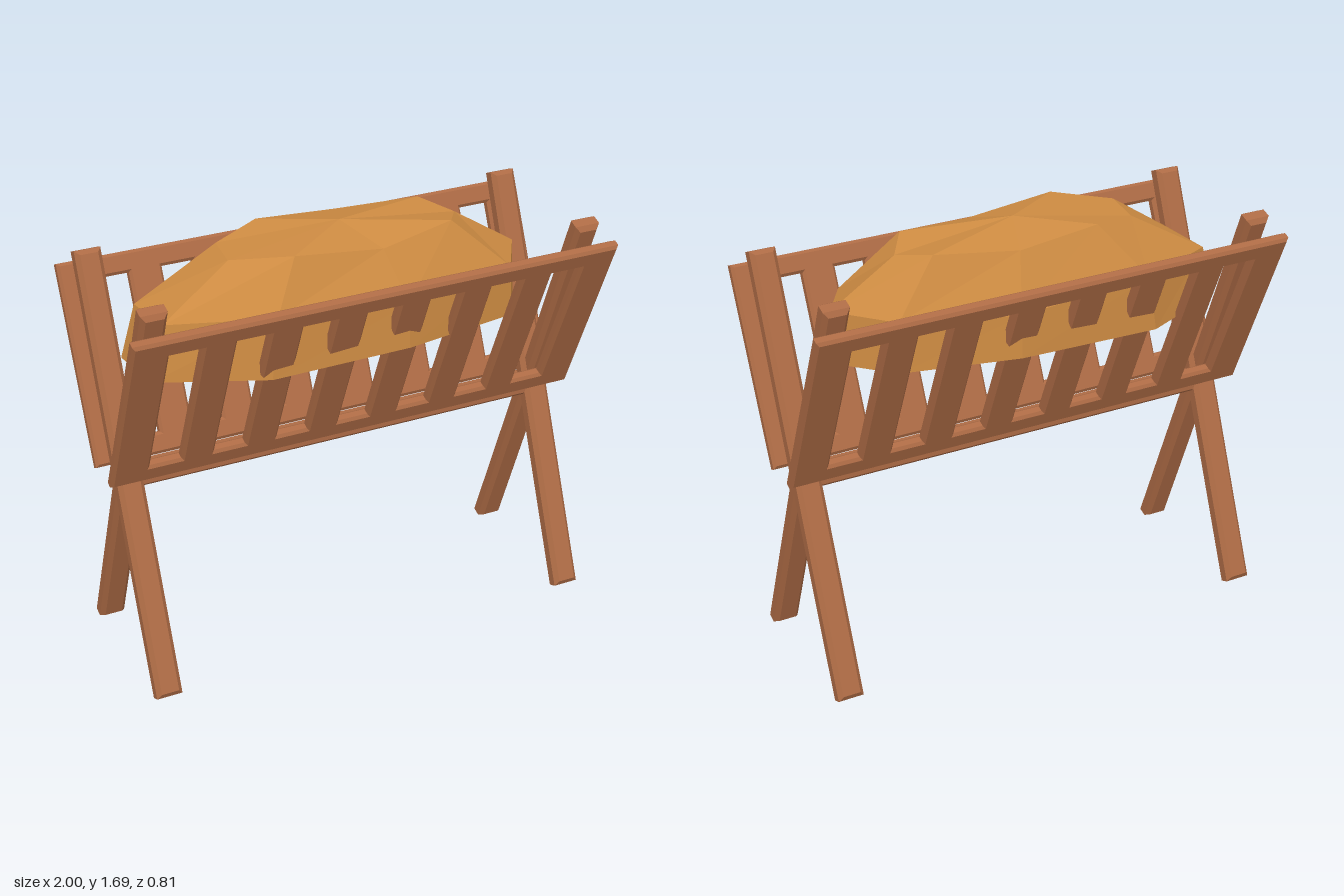
import * as THREE from 'three';

const wood = new THREE.MeshStandardMaterial({ color: 0xad6b45 });
wood.name = 'wood';
const hay = new THREE.MeshStandardMaterial({ color: 0xcd8b42 });
hay.name = 'hay';

function rectPoints(path, cx, cy, hw, hh) {
  path.moveTo(cx - hw, cy - hh);
  path.lineTo(cx + hw, cy - hh);
  path.lineTo(cx + hw, cy + hh);
  path.lineTo(cx - hw, cy + hh);
  path.closePath();
  return path;
}

// Chamfered board, centred, thickness along z; holes are [x, y, halfWidth, halfHeight]
function board(w, h, t, b, holes = []) {
  const shape = rectPoints(new THREE.Shape(), 0, 0, w / 2 - b, h / 2 - b);
  for (const [x, y, hw, hh] of holes) {
    shape.holes.push(rectPoints(new THREE.Path(), x, y, hw + b, hh + b));
  }
  const geo = new THREE.ExtrudeGeometry(shape, {
    depth: t - 2 * b, bevelEnabled: true, bevelThickness: b, bevelSize: b, bevelSegments: 1,
  });
  return geo.translate(0, 0, b - t / 2);
}

// Faceted mound from three rings and a peak; ring points are [x, y, z]
function moundGeometry(rings, peak, base) {
  const pos = [];
  const tri = (...pts) => pts.forEach((p) => pos.push(...p));
  const n = rings[0].length;
  for (let i = 0; i < n; i++) {
    const j = (i + 1) % n;
    for (let r = 0; r < rings.length - 1; r++) {
      const lo = rings[r], hi = rings[r + 1];
      tri(lo[j], lo[i], hi[i]);
      tri(lo[j], hi[i], hi[j]);
    }
    const top = rings[rings.length - 1];
    tri(peak, top[j], top[i]);
    tri(rings[0][i], rings[0][j], base);
  }
  const geo = new THREE.BufferGeometry();
  geo.setAttribute('position', new THREE.Float32BufferAttribute(pos, 3));
  geo.computeVertexNormals();
  return geo;
}

export function createModel() {
  const group = new THREE.Group();
  const add = (name, geo, mat, x, y, z, rx = 0) => {
    const mesh = new THREE.Mesh(geo, mat);
    mesh.name = name;
    mesh.position.set(x, y, z);
    mesh.rotation.x = rx;
    group.add(mesh);
  };

  // Crossed legs, one pair at each end
  const legGeo = board(0.105, 1.74, 0.072, 0.017);
  for (const s of [1, -1]) {
    const end = s > 0 ? 'left' : 'right';
    add(end + 'LegLeaningBack', legGeo, wood, s > 0 ? 0.885 : -0.903, 0.825, 0.013, -0.376);
    add(end + 'LegLeaningFront', legGeo, wood, s > 0 ? 0.903 : -0.885, 0.825, -0.013, 0.376);
  }

  // Slatted side panels with seven openings
  const holes = [];
  for (let i = -3; i <= 3; i++) holes.push([i * 0.2625, 0, 0.064, 0.31]);
  const panelGeo = board(2, 0.785, 0.046, 0.011, holes);
  add('frontPanel', panelGeo, wood, 0, 1.2, 0.23, 0.412);
  add('backPanel', panelGeo, wood, 0, 1.2, -0.23, -0.412);

  // Beam joining the leg crossings
  add('crossBeam', board(1.74, 0.08, 0.09, 0.012), wood, 0, 0.82, 0);

  // Hay mound
  const outline = [
    [-0.85, -0.13], [-0.46, -0.31], [0.14, -0.325], [0.59, -0.2], [0.78, 0],
    [0.65, 0.21], [0.14, 0.32], [-0.42, 0.295], [-0.83, 0.115],
  ];
  const baseY = [1.25, 1.25, 1.27, 1.26, 1.265, 1.255, 1.27, 1.25, 1.25];
  const midY = [1.46, 1.47, 1.44, 1.46, 1.47, 1.46, 1.45, 1.49, 1.47];
  const top = [
    [-0.46, 1.65, -0.11], [-0.26, 1.68, -0.19], [0.085, 1.65, -0.21], [0.41, 1.67, -0.135],
    [0.5, 1.64, 0], [0.41, 1.67, 0.135], [0.085, 1.64, 0.2], [-0.28, 1.68, 0.198], [-0.49, 1.655, 0.07],
  ];
  const low = outline.map(([x, z], i) => [x, baseY[i], z]);
  const mid = outline.map(([x, z], i) => [x * (x < 0 ? 0.93 : 0.985), midY[i], z * 0.97]);
  add('hayMound', moundGeometry([low, mid, top], [0, 1.7, 0], [0, 1.27, 0]), hay, 0, 0, 0);

  return group;
}
